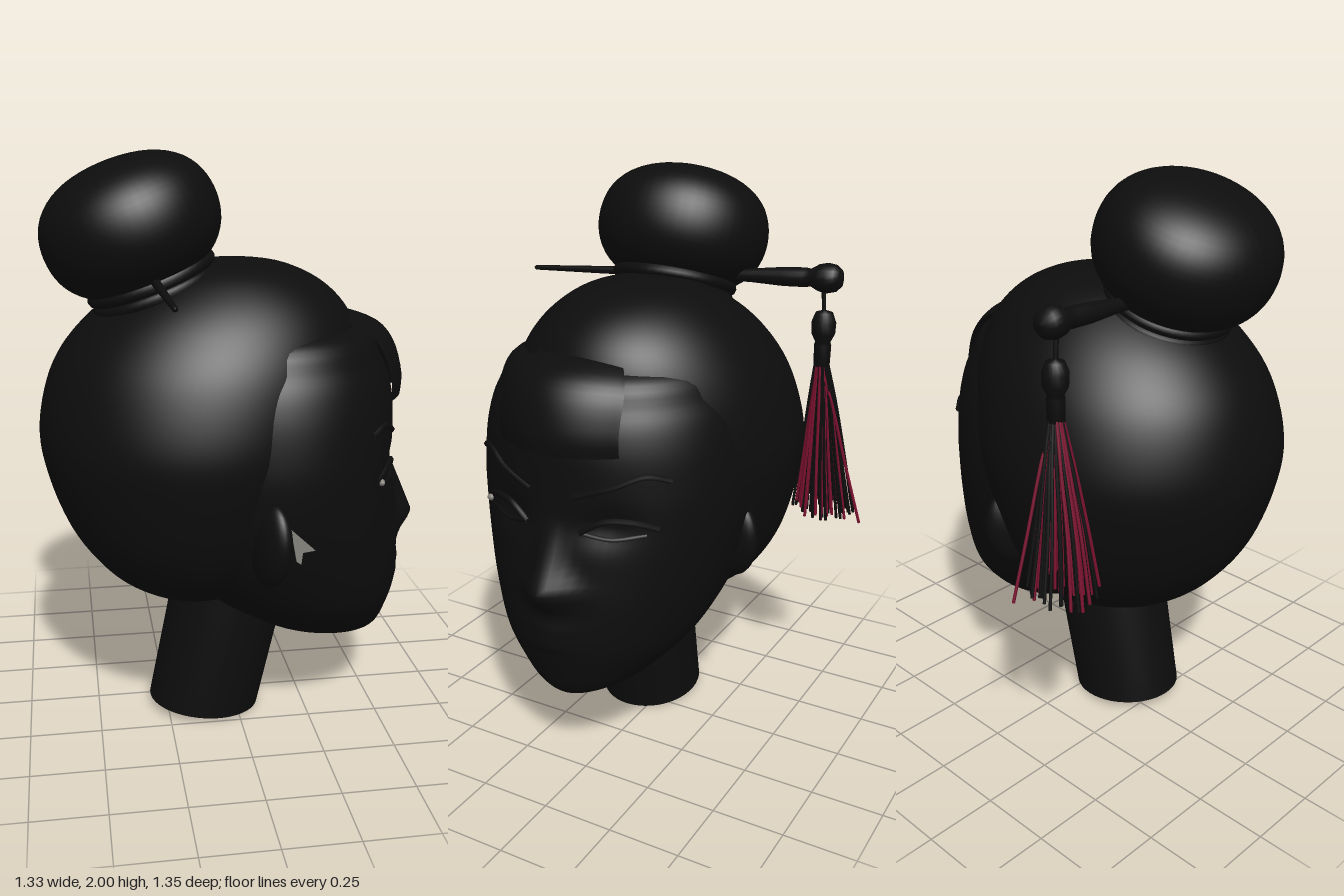
import * as THREE from 'three';

const black = new THREE.MeshStandardMaterial({ color: 0x0d0d0d });
black.name = 'black';
const blackSheet = black;
const red = new THREE.MeshStandardMaterial({ color: 0x7d1030 });
red.name = 'dark red';
const grey = new THREE.MeshStandardMaterial({ color: 0x85827c });
grey.name = 'warm grey';
black.side = THREE.DoubleSide;

const V = (x, y, z) => new THREE.Vector3(x, y, z);
const HAIR_Z = 0.052, FACE_Z = 0.075;

// Seeded random numbers for the tassel
let seed = 11;
const rnd = () => (seed = (seed * 16807) % 2147483647) / 2147483647;

// Stacked horizontal ovals; rows are [y, back x, front x, half width], bottom to top
function loft(rows, cz, shift = () => 0, nv = 72, nu = 96) {
  const back = new THREE.CatmullRomCurve3(rows.map(r => V(r[1], r[0], r[3])), false, 'catmullrom');
  const front = new THREE.CatmullRomCurve3(rows.map(r => V(r[2], r[0], r[3])), false, 'catmullrom');
  const pos = [], idx = [];
  for (let i = 0; i <= nv; i++) {
    const b = back.getPoint(i / nv), f = front.getPoint(i / nv);
    for (let j = 0; j < nu; j++) {
      const a = (j / nu) * Math.PI * 2;
      const dz = Math.max(b.z, 0) * Math.sin(a);
      const x = (b.x + f.x) / 2 + ((f.x - b.x) / 2) * Math.cos(a);
      pos.push(x + (Math.cos(a) > 0 ? shift(b.y, dz) : 0), b.y, cz + dz);
      if (i < nv) {
        const p = i * nu + j, q = i * nu + (j + 1) % nu;
        idx.push(p, p + nu, q, p + nu, q + nu, q);
      }
    }
  }
  const g = new THREE.BufferGeometry();
  g.setAttribute('position', new THREE.Float32BufferAttribute(pos, 3));
  g.setIndex(idx);
  g.computeVertexNormals();
  return g;
}

// Nose, lips and eye sockets pushed out of the front of the face
function faceShift(y, dz) {
  const bump = (v, c, s) => Math.exp(-(((v - c) / s) ** 2));
  let n = 0;
  if (y > 0.63 && y <= 0.72) n = (y - 0.63) / 0.09;
  else if (y > 0.72 && y < 0.97) n = (0.97 - y) / 0.25;
  const width = 0.04 + 0.045 * bump(y, 0.71, 0.08);
  return 0.078 * n * bump(dz, 0, width)
    + 0.016 * (bump(y, 0.58, 0.025) + bump(y, 0.52, 0.025)) * bump(dz, 0, 0.09)
    - 0.025 * bump(y, 0.95, 0.06) * bump(Math.abs(dz), 0.18, 0.08);
}

// Point on the brow and eye area of the face
const onFace = (y, dz, out = 0) => V(0.1 + out + 0.455 * Math.sqrt(1 - (dz / 0.485) ** 2), y, FACE_Z + dz);

export function createModel() {
  const model = new THREE.Group();
  const add = (name, geo, mat = black) => {
    const m = new THREE.Mesh(geo, mat);
    m.name = name;
    model.add(m);
    return m;
  };

  // Head
  add('hair', loft([
    [0.455, -0.2, -0.19, 0.001], [0.465, -0.26, -0.05, 0.13], [0.52, -0.38, 0.1, 0.27],
    [0.6, -0.48, 0.2, 0.375], [0.74, -0.58, 0.3, 0.46], [0.93, -0.65, 0.38, 0.51],
    [1.1, -0.67, 0.42, 0.525], [1.3, -0.62, 0.44, 0.48], [1.45, -0.51, 0.41, 0.4],
    [1.56, -0.36, 0.32, 0.295], [1.63, -0.2, 0.18, 0.17], [1.655, -0.01, 0.01, 0.001],
  ], HAIR_Z));
  add('face', loft([
    [0.289, 0.43, 0.44, 0.001], [0.29, 0.35, 0.5, 0.07], [0.33, 0.14, 0.54, 0.18],
    [0.4, 0.0, 0.565, 0.265], [0.5, -0.15, 0.588, 0.35], [0.65, -0.3, 0.59, 0.42],
    [0.8, -0.35, 0.575, 0.462], [0.93, -0.35, 0.56, 0.482], [1.05, -0.35, 0.555, 0.485],
    [1.2, -0.35, 0.548, 0.465], [1.32, -0.3, 0.51, 0.42], [1.43, -0.2, 0.42, 0.33],
    [1.46, 0.05, 0.06, 0.001],
  ], FACE_Z, faceShift));

  // Leaning neck with a sloping cut
  const neckGeo = new THREE.CylinderGeometry(0.2, 0.188, 0.62, 48, 8, true);
  const p = neckGeo.attributes.position;
  const lean = (x, y) => {
    const t = (y + 0.31) / 0.62;
    return [x * 1.06 - 0.113 + 0.13 * t, 0.028 + 0.6 * t - x * 0.1 * (1 - t)];
  };
  for (let i = 0; i < p.count; i++) {
    const [x, y] = lean(p.getX(i), p.getY(i));
    p.setXYZ(i, x, y, p.getZ(i) * 0.98 + FACE_Z);
  }
  neckGeo.computeVertexNormals();
  add('neck', neckGeo);
  const cut = add('neckCut', new THREE.CircleGeometry(0.187, 48), grey);
  cut.rotation.set(Math.PI / 2, 0.1, 0, 'ZYX');
  cut.rotation.set(Math.PI / 2, 0, 0);
  const cp = cut.geometry.attributes.position;
  for (let i = 0; i < cp.count; i++) cp.setXYZ(i, cp.getX(i) * 1.06, cp.getY(i) * 0.98, cp.getX(i) * 0.1);
  cut.geometry.computeVertexNormals();
  cut.position.set(-0.113, 0.03, FACE_Z);

  // Fringe: a curved sheet swept across the forehead
  const profile = new THREE.SplineCurve([
    [0.36, 1.475], [0.43, 1.46], [0.51, 1.425], [0.56, 1.36], [0.588, 1.26], [0.585, 1.19],
  ].map(q => new THREE.Vector2(...q)));
  const fringe = new THREE.PlaneGeometry(1, 1, 28, 16);
  const fp = fringe.attributes.position;
  for (let i = 0; i < fp.count; i++) {
    const s = fp.getX(i) * 2, t = 0.5 - fp.getY(i);
    const q = profile.getPoint(t);
    const dz = s * 0.225 * (0.55 + 0.45 * Math.sin(Math.min(1, t * 1.6) * Math.PI / 2));
    fp.setXYZ(i, q.x - 1.75 * dz * dz, q.y - 0.6 * dz * dz * (1 - t), FACE_Z + dz);
  }
  fringe.computeVertexNormals();
  add('fringe', fringe, blackSheet);

  // Brows, eyelids and ears on both sides
  for (const s of [1, -1]) {
    const line = (name, pts, r) => add(name, new THREE.TubeGeometry(
      new THREE.CatmullRomCurve3(pts.map(([y, d]) => onFace(y, s * d, -0.003))), 20, r, 6));
    line('brow', [[1.05, 0.08], [1.09, 0.2], [1.13, 0.3], [1.11, 0.36]], 0.011);
    line('upperEyelid', [[0.93, 0.1], [0.975, 0.18], [0.975, 0.26], [0.95, 0.33]], 0.011);
    line('lowerEyelid', [[0.93, 0.1], [0.915, 0.2], [0.93, 0.3]], 0.008);
    const ear = add('ear', new THREE.SphereGeometry(1, 28, 20));
    ear.scale.set(0.05, 0.145, 0.1);
    ear.position.set(0.05, 0.79, FACE_Z + s * (s > 0 ? 0.455 : 0.42));
    ear.rotation.set(s * 0.2, s * 0.35, -0.1);
  }

  // Small pale patches at one eye and beside one ear
  const eye = add('eyeGlint', new THREE.SphereGeometry(1, 12, 8), grey);
  eye.scale.set(0.012, 0.012, 0.016);
  eye.position.copy(onFace(0.938, 0.315, 0.004));
  const tri = new THREE.Shape([[0.11, 0.85], [0.13, 0.74], [0.145, 0.73], [0.15, 0.77], [0.19, 0.775]]
    .map(q => new THREE.Vector2(...q)));
  const patch = add('earPatch', new THREE.ExtrudeGeometry(tri, { depth: 0.008, bevelEnabled: false }), grey);
  patch.position.z = 0.545;

  // Bun, its stem and tie
  const bunGroup = new THREE.Group();
  bunGroup.name = 'bun';
  bunGroup.position.set(-0.345, 1.765, 0.073);
  bunGroup.rotation.z = 0.36;
  model.add(bunGroup);
  const bunGeo = new THREE.SphereGeometry(1, 48, 32);
  const bp = bunGeo.attributes.position;
  for (let i = 0; i < bp.count; i++) {
    const v = V(0, 0, 0).fromBufferAttribute(bp, i);
    const k = 1 + 0.18 * v.y * v.y * (1 - v.y * v.y);
    bp.setXYZ(i, v.x * k * 0.305, v.y * k * 0.222, v.z * k * 0.31);
  }
  bunGeo.computeVertexNormals();
  const bun = new THREE.Mesh(bunGeo, black);
  bun.name = 'bunBall';
  const stem = new THREE.Mesh(new THREE.CylinderGeometry(0.19, 0.21, 0.14, 40), black);
  stem.name = 'bunStem';
  stem.position.set(0.0, -0.2, 0);
  bunGroup.add(bun, stem);
  for (const [y, r] of [[-0.185, 0.205], [-0.225, 0.2]]) {
    const tie = new THREE.Mesh(new THREE.TorusGeometry(r, 0.022, 10, 48), black);
    tie.name = 'hairTie';
    tie.rotation.x = Math.PI / 2;
    tie.position.set(0.0, y, 0);
    bunGroup.add(tie);
  }

  // Hairpin, turned along its length from tip to knob
  const pin = add('hairpin', new THREE.LatheGeometry([
    [0, 0], [0.009, 0.01], [0.014, 0.3], [0.018, 0.7], [0.024, 0.9], [0.033, 1.02], [0.034, 1.1],
    [0.03, 1.12], [0.046, 1.15], [0.052, 1.18], [0.046, 1.21], [0.03, 1.228], [0, 1.235],
  ].map(q => new THREE.Vector2(...q)), 20));
  const tip = V(-0.262, 1.585, 0.68), knob = V(-0.325, 1.648, -0.55);
  pin.position.copy(tip);
  pin.quaternion.setFromUnitVectors(V(0, 1, 0), knob.clone().sub(tip).normalize());

  // Tassel cord, bead and cap
  const tx = -0.325, tz = -0.49;
  add('tasselCord', new THREE.TubeGeometry(new THREE.CatmullRomCurve3(
    [V(tx, 1.64, tz + 0.01), V(tx, 1.57, tz + 0.004), V(tx, 1.5, tz)]), 10, 0.008, 8));
  add('tasselBead', new THREE.LatheGeometry([
    [0, 1.33], [0.028, 1.335], [0.03, 1.41], [0.026, 1.42], [0.041, 1.45], [0.043, 1.49],
    [0.03, 1.525], [0, 1.535],
  ].map(q => new THREE.Vector2(...q)), 20)).position.set(tx, 0, tz);

  // Tassel strands, fanning out towards the bottom
  for (let i = 0; i < 84; i++) {
    const a = rnd() * Math.PI * 2, k = Math.sqrt(rnd());
    const stray = i === 0;
    const dx = stray ? 0.0 : Math.cos(a) * k * 0.105 - 0.05;
    const dz = stray ? -0.18 : Math.sin(a) * k * 0.095 - 0.02;
    const x0 = tx + Math.cos(a) * k * 0.022, z0 = tz + Math.sin(a) * k * 0.022;
    const end = 0.76 + rnd() * 0.05;
    const curve = new THREE.CatmullRomCurve3([
      V(x0, 1.35, z0),
      V(x0 + dx * 0.3, 1.2, z0 + dz * 0.3),
      V(x0 + dx * 0.68, 1.0, z0 + dz * 0.62),
      V(x0 + dx, end, z0 + dz),
    ]);
    add('tasselStrand', new THREE.TubeGeometry(curve, 8, 0.0055, 5), i % 9 < 4 ? red : black);
  }
  return model;
}
